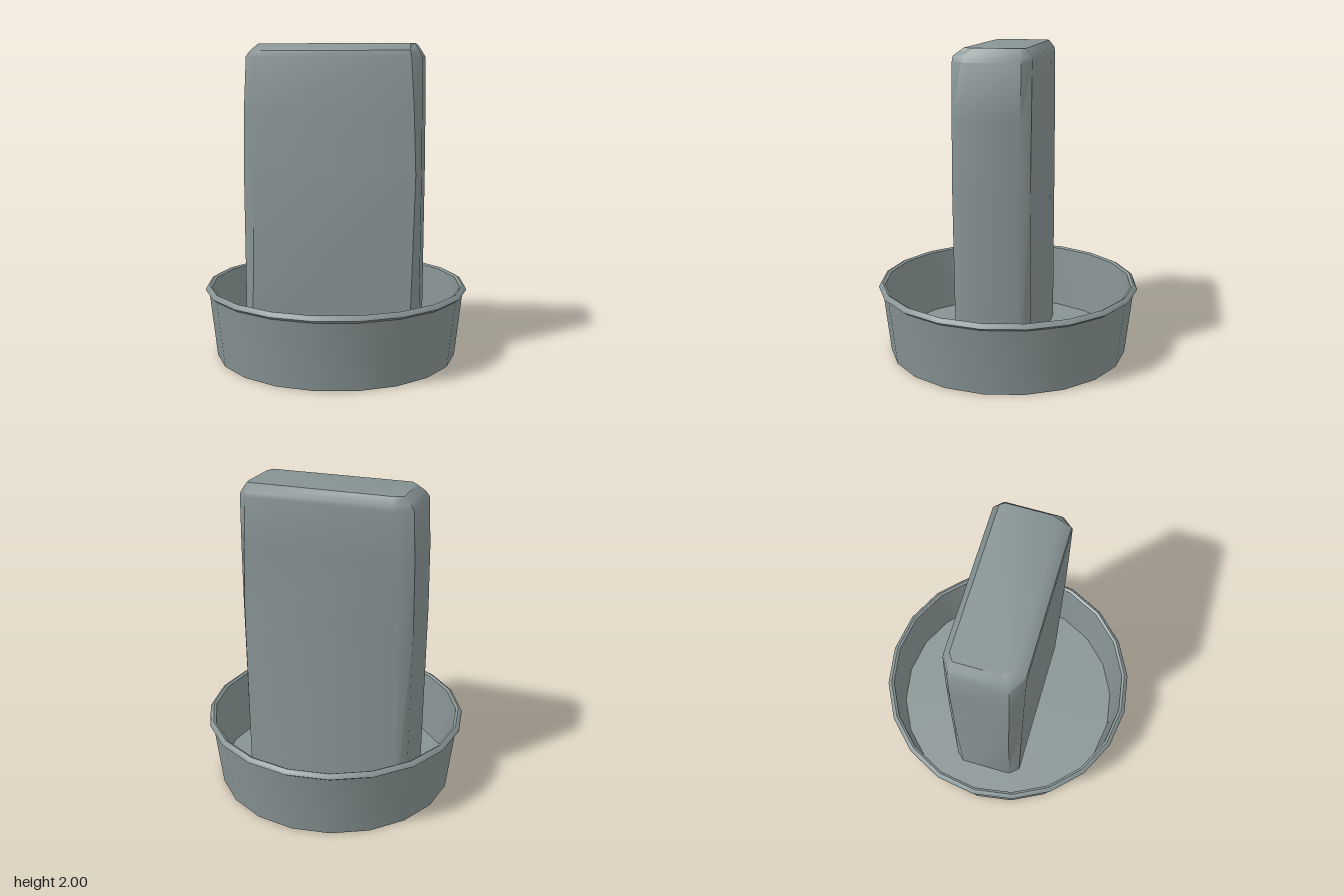
import * as THREE from 'three';
import { toCreasedNormals } from 'three/addons/utils/BufferGeometryUtils.js';

const CREASE = THREE.MathUtils.degToRad(46);

// Shallow flared dish with a rolled lip and a hollow inside
function createDish(material) {
  const profile = [
    [0, 0], [0.78, 0], [0.826, 0.42], [0.85, 0.438], [0.84, 0.458],
    [0.825, 0.465], [0.808, 0.455], [0.77, 0.03], [0, 0.03],
  ].map(([r, y]) => new THREE.Vector2(r, y));
  const dish = new THREE.Mesh(toCreasedNormals(new THREE.LatheGeometry(profile, 20), CREASE), material);
  dish.name = 'dish';
  return dish;
}

// Upright slab lofted through chamfered rectangles
function createSlab(material) {
  // y, outer left/right, face left/right, front/back z, side front/back z
  const levels = [
    [0.02, -0.562, 0.558, -0.51, 0.5, 0.233, -0.235, 0.17, -0.18],
    [1.2, -0.567, 0.562, -0.485, 0.53, 0.235, -0.235, 0.17, -0.18],
    [1.6, -0.56, 0.56, -0.47, 0.515, 0.235, -0.235, 0.17, -0.18],
    [1.92, -0.545, 0.555, -0.445, 0.495, 0.235, -0.235, 0.165, -0.18],
    [1.955, -0.523, 0.535, -0.435, 0.485, 0.23, -0.232, 0.15, -0.18],
    [2.0, -0.48, 0.505, -0.435, 0.485, 0.165, -0.195, 0.11, -0.165],
  ];
  const rings = levels.map(([y, L, R, l, r, F, B, f, b]) =>
    [[l, F], [r, F], [R, f], [R, b], [r, B], [l, B], [L, b], [L, f]].map(([x, z]) => [x, y, z]));
  const positions = [];
  const addTriangle = (...points) => points.forEach((p) => positions.push(...p));
  for (let i = 0; i < rings.length - 1; i++) {
    for (let j = 0; j < 8; j++) {
      const k = (j + 1) % 8;
      addTriangle(rings[i][j], rings[i][k], rings[i + 1][k]);
      addTriangle(rings[i][j], rings[i + 1][k], rings[i + 1][j]);
    }
  }
  // Top cap
  const top = rings[rings.length - 1];
  for (let j = 1; j < 7; j++) addTriangle(top[0], top[j], top[j + 1]);

  const geometry = new THREE.BufferGeometry();
  geometry.setAttribute('position', new THREE.Float32BufferAttribute(positions, 3));
  const slab = new THREE.Mesh(toCreasedNormals(geometry, CREASE), material);
  slab.name = 'slab';
  return slab;
}

export function createModel() {
  const stone = new THREE.MeshStandardMaterial({ color: 0x879393 });
  stone.name = 'greyStone';
  const model = new THREE.Group();
  model.name = 'slabInDish';
  model.add(createDish(stone), createSlab(stone));
  return model;
}
